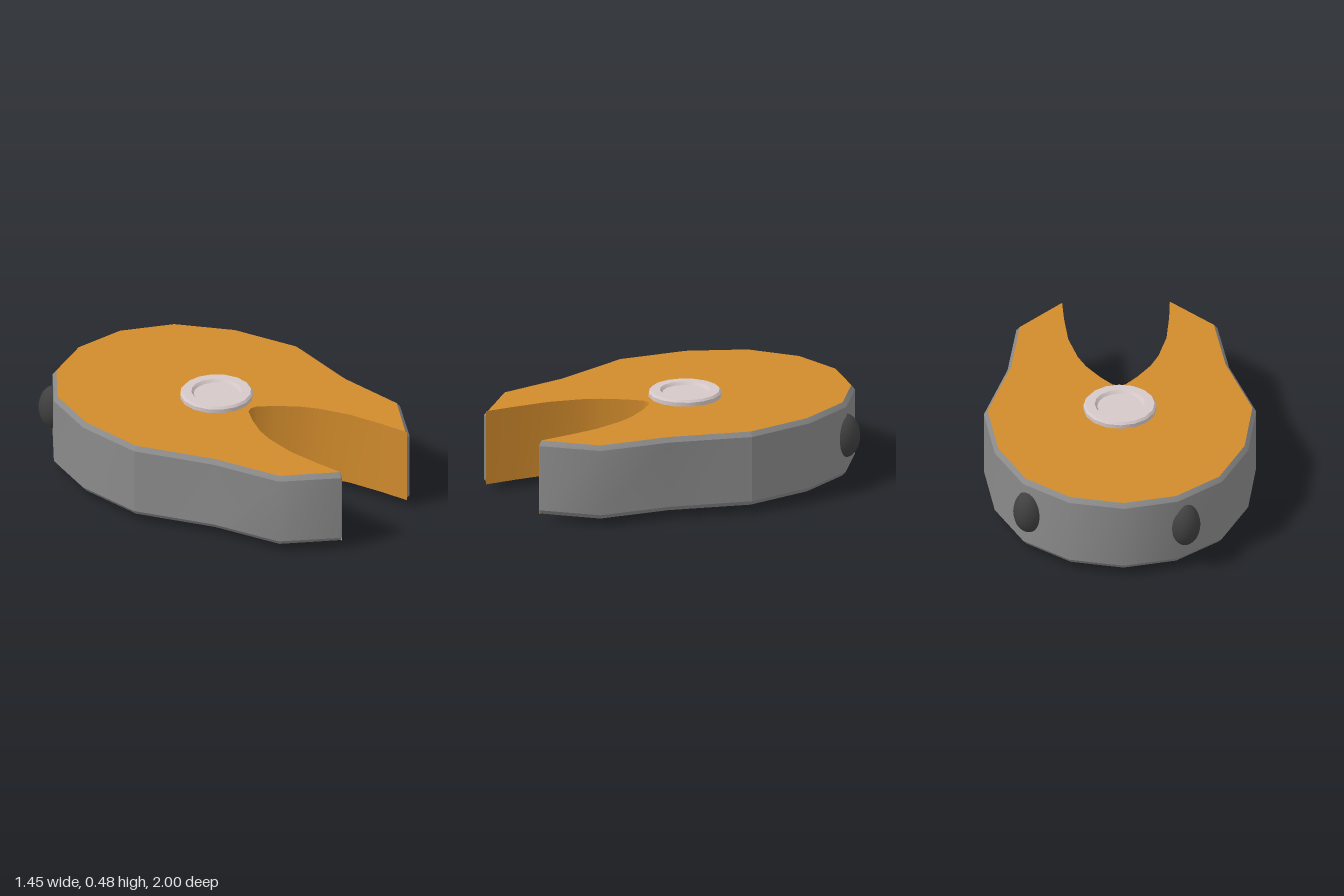
import * as THREE from 'three';
import { toCreasedNormals } from 'three/addons/utils/BufferGeometryUtils.js';

const material = (name, color, side = THREE.FrontSide) => {
  const m = new THREE.MeshStandardMaterial({ color, side });
  m.name = name;
  return m;
};

const BOTTOM = 0.04, TOP = 0.45, BEVEL = 0.025, HUB_Z = -0.06;

// Right half of the outline as [x, z], from the back centre to the claw tip
const OUTER = [[0, -1], [0.29, -0.935], [0.53, -0.745], [0.675, -0.44], [0.725, -0.06],
  [0.59, 0.37], [0.535, 0.76], [0.302, 1], [0.287, 0.995]];
// Right half of the mouth, from the claw tip to the throat
const MOUTH = [[0.287, 0.995], [0.28, 0.83], [0.262, 0.63], [0.215, 0.455], [0.172, 0.36],
  [0.1, 0.255], [0.035, 0.18]];

const flip = (points) => points.map(([x, z]) => [-x, z]).reverse();

// Moves the outline inwards, keeping the tips on the mouth wall
function inset(points, d) {
  const last = points.length - 1;
  return points.map(([x, z], i) => {
    if (i === 0 || i === last) return [x, z - 0.012];
    if (i === 1 || i === last - 1) return [x - Math.sign(x) * 0.012, z - d];
    const a = points[i - 1], b = points[i + 1];
    const dx = b[0] - a[0], dz = b[1] - a[1], len = Math.hypot(dx, dz);
    return [x - (dz / len) * d, z + (dx / len) * d];
  });
}

// Wall between a lower and an upper path with matching points
function wall(low, yLow, high, yHigh) {
  const pos = [], idx = [];
  low.forEach(([x, z], i) => {
    pos.push(x, yLow, z, high[i][0], yHigh, high[i][1]);
    if (i) {
      const a = 2 * i - 2;
      idx.push(a, a + 1, a + 2, a + 1, a + 3, a + 2);
    }
  });
  const g = new THREE.BufferGeometry();
  g.setAttribute('position', new THREE.Float32BufferAttribute(pos, 3));
  g.setIndex(idx);
  g.computeVertexNormals();
  return g;
}

export function createModel() {
  const orange = material('orange', 0xd18b2c, THREE.DoubleSide);
  const grey = material('grey', 0x8a8a8a, THREE.DoubleSide);
  const pale = material('pale metal', 0xd6c8c8);
  const dark = material('dark rubber', 0x404040);

  const model = new THREE.Group();
  model.name = 'clawDisc';
  const add = (name, geometry, mat) => {
    const mesh = new THREE.Mesh(geometry, mat);
    mesh.name = name;
    model.add(mesh);
    return mesh;
  };

  const outline = [...flip(OUTER), ...OUTER.slice(1)];
  const rim = inset(outline, 0.02);
  const mouth = [...MOUTH, [0, 0.168], ...flip(MOUTH)];

  // Outer casing: two claw sides and the rounded back, creased where they meet
  const turn = OUTER.length - 5;
  const centre = OUTER.length - 1;
  const spans = { rightClawSide: [0, centre - turn], roundedBack: [centre - turn, centre + turn],
    leftClawSide: [centre + turn, outline.length - 1] };
  for (const [name, [from, to]] of Object.entries(spans)) {
    const o = outline.slice(from, to + 1), r = rim.slice(from, to + 1);
    add(name, wall(o, BOTTOM + BEVEL, o, TOP - BEVEL), grey);
    add(name + 'TopBevel', wall(o, TOP - BEVEL, r, TOP), grey);
    add(name + 'BottomBevel', wall(r, BOTTOM, o, BOTTOM + BEVEL), grey);
  }

  // Mouth wall and the two face plates
  add('mouthWall', wall(mouth, BOTTOM, mouth, TOP), orange);
  const loop = [...rim, ...mouth.slice(1, -1)];
  const plate = (sign) => new THREE.ShapeGeometry(
    new THREE.Shape(loop.map(([x, z]) => new THREE.Vector2(x, sign * z))));
  add('topFace', plate(-1).rotateX(-Math.PI / 2).translate(0, TOP, 0), orange);
  add('bottomFace', plate(1).rotateX(Math.PI / 2).translate(0, BOTTOM, 0), orange);

  // Hub running through the disc, dished at both ends
  const half = [[0.195, 0.23], [0.185, 0.242], [0.135, 0.242], [0.122, 0.226], [0, 0.226]];
  const profile = [...half.map(([r, y]) => [r, -y]).reverse(), ...half]
    .map(([r, y]) => new THREE.Vector2(r, y));
  const hub = add('hub', toCreasedNormals(new THREE.LatheGeometry(profile, 16), 0.6), pale);
  hub.position.set(0, 0.242, HUB_Z);

  // Oval studs on the back
  for (const [name, x, z] of [['leftStud', 0.5, -0.753], ['rightStud', -0.328, -0.897]]) {
    const stud = add(name, new THREE.SphereGeometry(1, 20, 14), dark);
    stud.scale.set(0.083, 0.122, 0.083);
    stud.position.set(x, 0.258, z);
  }
  return model;
}
